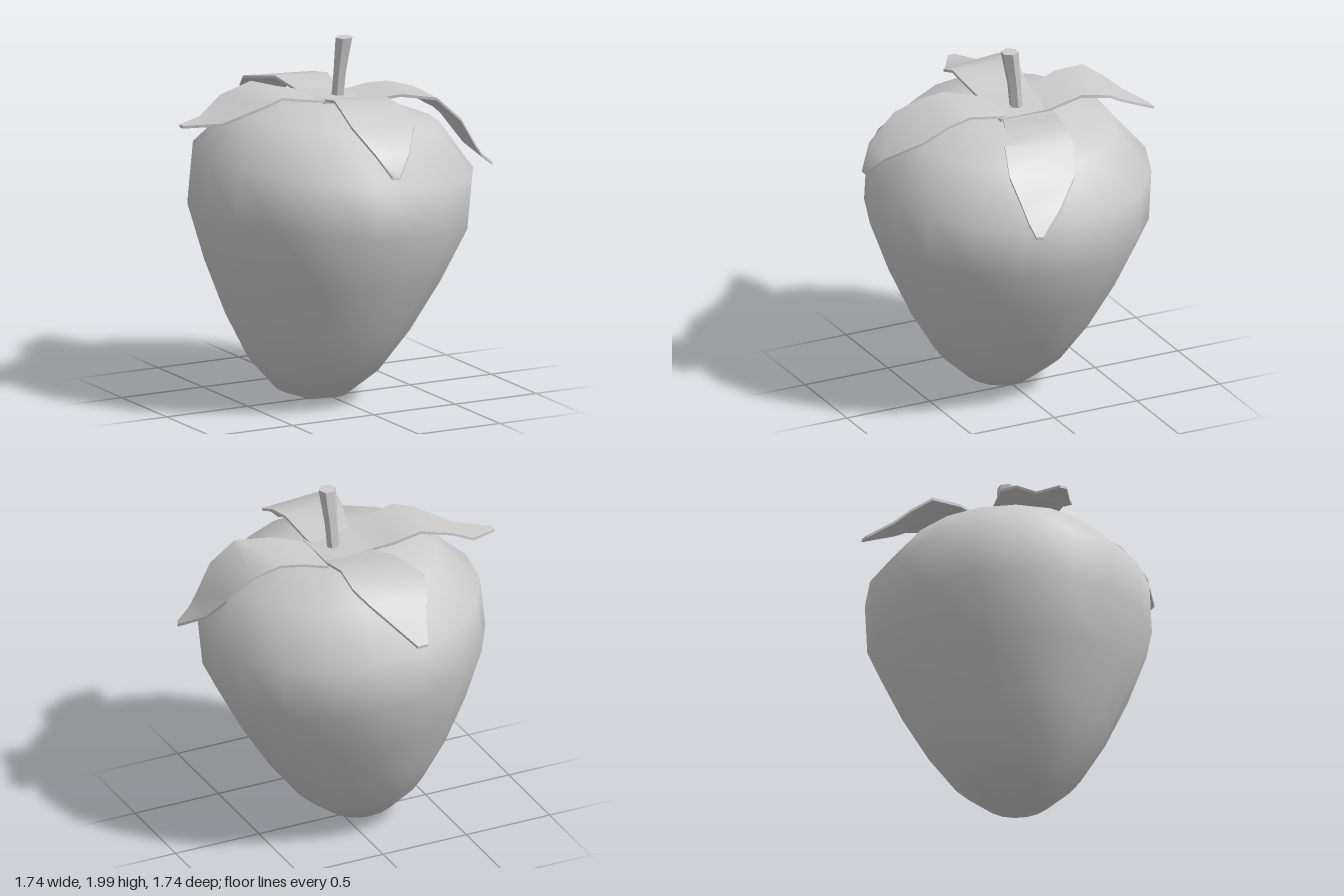
import * as THREE from 'three';
import { toCreasedNormals } from 'three/addons/utils/BufferGeometryUtils.js';

const grey = new THREE.MeshStandardMaterial({ color: 0xcccccc });
const TILT = -0.105;

// Closed skin over a row of rings, with both ends capped
function loft(rings, crease) {
  const out = [];
  const tri = (a, b, c) => out.push(...a, ...b, ...c);
  const n = rings[0].length;
  for (let i = 0; i < rings.length - 1; i++) {
    for (let j = 0; j < n; j++) {
      const k = (j + 1) % n;
      tri(rings[i][j], rings[i + 1][j], rings[i + 1][k]);
      tri(rings[i][j], rings[i + 1][k], rings[i][k]);
    }
  }
  const first = rings[0], last = rings[rings.length - 1];
  for (let j = 1; j < n - 1; j++) {
    tri(first[0], first[j], first[j + 1]);
    tri(last[0], last[j + 1], last[j]);
  }
  const g = new THREE.BufferGeometry();
  g.setAttribute('position', new THREE.Float32BufferAttribute(out, 3));
  return toCreasedNormals(g, crease);
}

// Thin leaf from pairs of edge points: [left xyz, right xyz], base to tip
function leafGeometry(stations) {
  const t = 0.015;
  return loft(stations.map(([lx, ly, lz, rx, ry, rz]) => [
    [lx, ly, lz], [rx, ry, rz], [rx, ry - t, rz], [lx, ly - t, lz],
  ]), 0.6);
}

const leaves = {
  frontLeaf: [
    [-0.08, 1.675, 0.04, 0.12, 1.655, 0.04],
    [-0.1, 1.69, 0.13, 0.15, 1.67, 0.13],
    [-0.155, 1.735, 0.34, 0.175, 1.715, 0.34],
    [-0.18, 1.71, 0.46, 0.185, 1.69, 0.48],
    [-0.2, 1.655, 0.61, 0.175, 1.62, 0.63],
    [-0.15, 1.53, 0.79, 0.05, 1.51, 0.8],
    [-0.085, 1.41, 0.865, -0.04, 1.41, 0.865],
  ],
  backLeaf: [
    [0.13, 1.655, -0.04, -0.08, 1.675, -0.04],
    [0.16, 1.665, -0.15, -0.11, 1.685, -0.15],
    [0.17, 1.71, -0.33, -0.15, 1.73, -0.33],
    [0.18, 1.68, -0.5, -0.23, 1.695, -0.54],
    [0.13, 1.62, -0.59, -0.19, 1.62, -0.65],
    [0.05, 1.54, -0.73, -0.15, 1.55, -0.73],
    [-0.03, 1.46, -0.87, -0.09, 1.46, -0.87],
  ],
  rightLeaf: [
    [-0.02, 1.675, -0.1, -0.02, 1.675, 0.1],
    [-0.11, 1.69, -0.15, -0.12, 1.69, 0.15],
    [-0.23, 1.715, -0.18, -0.23, 1.71, 0.16],
    [-0.37, 1.755, -0.2, -0.38, 1.74, 0.17],
    [-0.56, 1.7, -0.2, -0.5, 1.7, 0.165],
    [-0.71, 1.61, -0.155, -0.69, 1.61, 0.06],
    [-0.87, 1.595, -0.09, -0.87, 1.595, -0.05],
  ],
  leftLeaf: [
    [0.06, 1.66, 0.1, 0.06, 1.66, -0.1],
    [0.15, 1.655, 0.13, 0.16, 1.65, -0.16],
    [0.33, 1.685, 0.21, 0.3, 1.68, -0.13],
    [0.5, 1.665, 0.3, 0.42, 1.685, -0.1],
    [0.63, 1.54, 0.335, 0.57, 1.64, -0.08],
    [0.73, 1.39, 0.305, 0.7, 1.5, -0.02],
    [0.78, 1.32, 0.295, 0.77, 1.36, 0.1],
    [0.85, 1.26, 0.285, 0.865, 1.26, 0.25],
  ],
};

export function createModel() {
  const model = new THREE.Group();
  model.name = 'strawberry';
  const add = (name, geometry) => {
    const mesh = new THREE.Mesh(geometry, grey);
    mesh.name = name;
    model.add(mesh);
    return mesh;
  };

  // Fruit: an 18-sided turned body leaning slightly to its left
  const profile = [
    [0, 0], [0.19, 0.05], [0.357, 0.206], [0.508, 0.447], [0.649, 0.734],
    [0.77, 1.036], [0.77, 1.327], [0.56, 1.57], [0.28, 1.653], [0, 1.662],
  ].map(([r, y]) => new THREE.Vector2(r, y));
  const fruit = add('fruit', new THREE.LatheGeometry(profile, 18, Math.PI / 2));
  fruit.position.set(-0.13, 0.006, 0.025);
  fruit.rotation.z = TILT;

  // Leaf crown: centre patch and four leaves
  const centre = add('crownCentre', new THREE.BoxGeometry(0.27, 0.02, 0.3));
  centre.position.set(0.025, 1.665, 0);
  centre.rotation.z = TILT;
  for (const [name, stations] of Object.entries(leaves)) add(name, leafGeometry(stations));

  // Stem: bent six-sided stalk, wider at the cut end
  const stemRings = [
    [0.05, 1.63, 0, 0.036], [0.057, 1.8, 0.018, 0.037], [0.066, 2, 0.05, 0.05],
  ].map(([x, y, z, r]) => Array.from({ length: 6 }, (_, i) => {
    const a = (i / 6) * Math.PI * 2 + 0.1;
    return [x + r * Math.cos(a), y, z + r * Math.sin(a)];
  }));
  add('stem', loft(stemRings, 0.6));

  return model;
}
